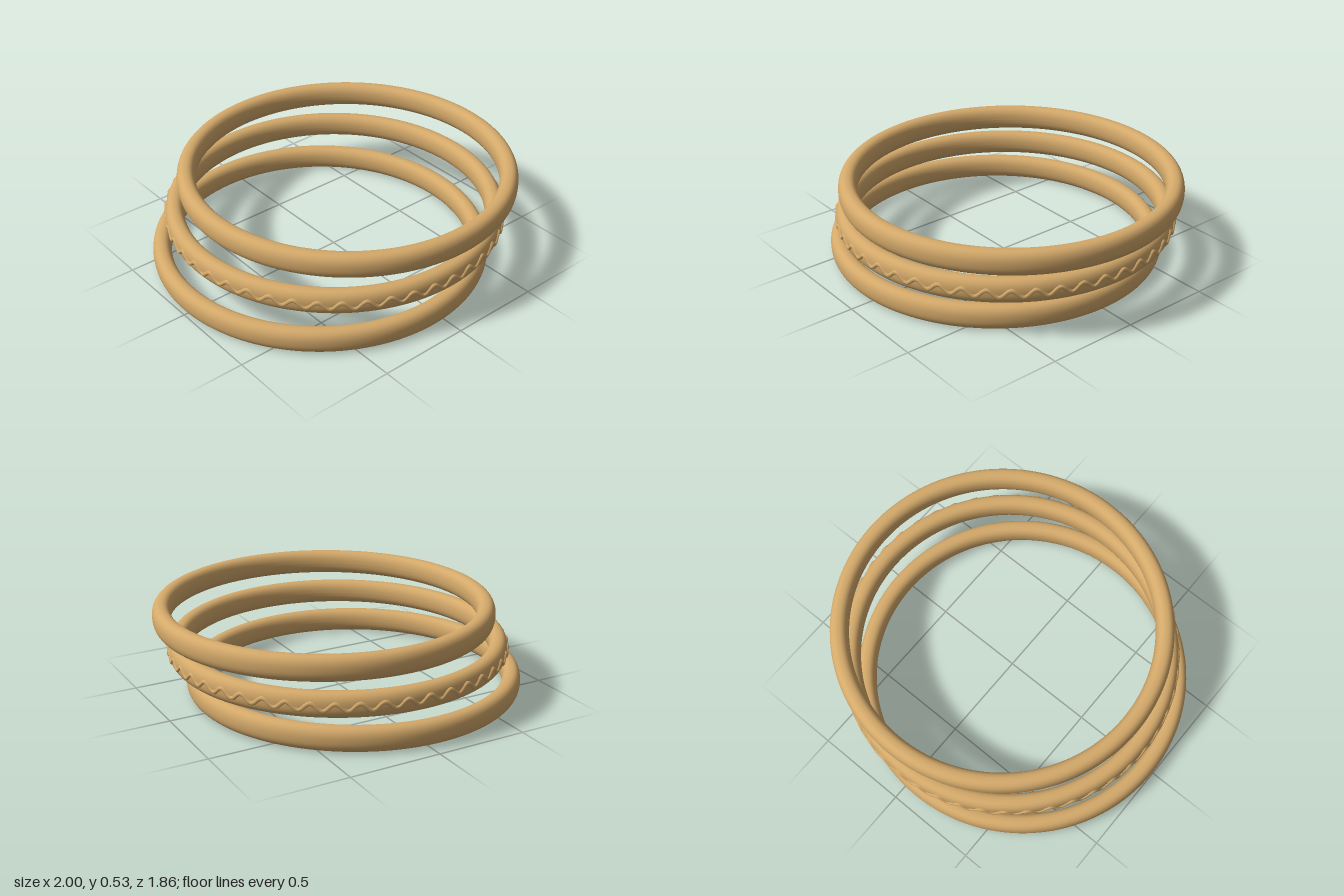
import * as THREE from 'three';

const RING_RADIUS = 0.867; // centre line of each band
const HALF_WIDTH = 0.05;
const HALF_HEIGHT = 0.067;

// Slightly squared oval section revolved about the vertical axis
function bandGeometry() {
  const profile = [];
  const steps = 40, power = 2 / 2.3;
  const soft = (v) => Math.sign(v) * Math.pow(Math.abs(v), power);
  for (let i = 0; i <= steps; i++) {
    const t = -Math.PI + (i / steps) * Math.PI * 2;
    profile.push(new THREE.Vector2(
      RING_RADIUS + HALF_WIDTH * soft(Math.cos(t)),
      HALF_HEIGHT * soft(Math.sin(t))
    ));
  }
  return new THREE.LatheGeometry(profile, 160);
}

// Thin wire waving up and down around the outside of a band
class WavePath extends THREE.Curve {
  getPoint(t, target = new THREE.Vector3()) {
    const a = t * Math.PI * 2;
    const r = RING_RADIUS + HALF_WIDTH - 0.004;
    return target.set(r * Math.sin(a), 0.018 * Math.cos(48 * a), r * Math.cos(a));
  }
}

export function createModel() {
  const model = new THREE.Group();
  model.name = 'bangleSet';
  const gold = new THREE.MeshStandardMaterial({ color: 0xd4a96a });
  gold.name = 'warm gold';

  const band = bandGeometry();
  const addBangle = (name, x, y, z) => {
    const bangle = new THREE.Group();
    bangle.name = name;
    bangle.position.set(x, y, z);
    const mesh = new THREE.Mesh(band, gold);
    mesh.name = name + 'Band';
    bangle.add(mesh);
    model.add(bangle);
    return bangle;
  };

  addBangle('lowerBangle', -0.083, 0.067, -0.013);
  const middle = addBangle('middleBangle', 0.01, 0.266, -0.005);
  addBangle('upperBangle', 0.083, 0.459, 0.016);

  // Raised wavy trim on the middle bangle
  const trim = new THREE.Mesh(
    new THREE.TubeGeometry(new WavePath(), 768, 0.012, 8, true), gold);
  trim.name = 'wavyTrim';
  middle.add(trim);

  return model;
}
